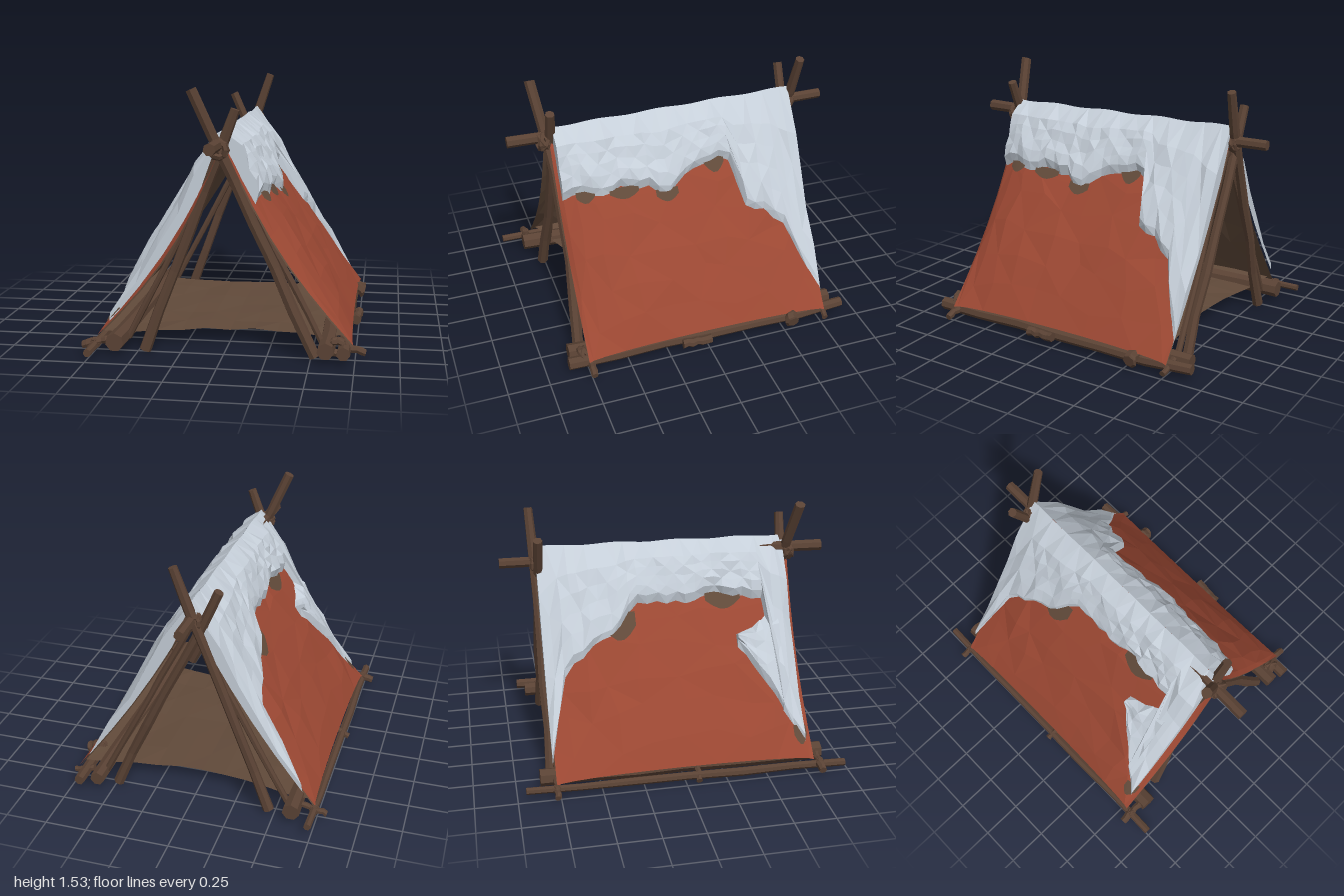
import * as THREE from 'three';

const material = (name, color) => Object.assign(new THREE.MeshStandardMaterial({ color }), { name });

export function createModel() {
  const tent = new THREE.Group();
  tent.name = 'tent';
  const wood = material('dark wood', 0x5a4234);
  const red = material('red canvas', 0x9c4833);
  const lining = material('brown lining', 0x614a3a);
  const snow = material('snow', 0xc5ced8);
  lining.side = THREE.DoubleSide;

  let seed = 11;
  const rand = () => {
    seed = (seed * 16807) % 2147483647;
    return (seed / 2147483647) * 2 - 1;
  };

  function add(name, geometry, mat, parent = tent) {
    const flat = geometry.index ? geometry.toNonIndexed() : geometry;
    flat.computeVertexNormals();
    const mesh = new THREE.Mesh(flat, mat);
    mesh.name = name;
    parent.add(mesh);
    return mesh;
  }

  // Faceted surface from a rows x columns rule
  function grid(rows, cols, point, flip) {
    const pos = [], index = [];
    for (let i = 0; i <= rows; i++)
      for (let j = 0; j <= cols; j++) pos.push(...point(i, j));
    for (let i = 0; i < rows; i++)
      for (let j = 0; j < cols; j++) {
        const a = i * (cols + 1) + j, b = a + 1, c = a + cols + 1, d = c + 1;
        const tris = (i + j) % 2 ? [a, b, c, b, d, c] : [a, b, d, a, d, c];
        index.push(...(flip ? tris.reverse() : tris));
      }
    const g = new THREE.BufferGeometry();
    g.setAttribute('position', new THREE.Float32BufferAttribute(pos, 3));
    g.setIndex(index);
    return g;
  }

  // Rough pole between two points; bow bends its middle along z
  function pole(name, from, to, r, wobble = 0.2, bow = 0) {
    const a = new THREE.Vector3(...from), b = new THREE.Vector3(...to);
    const dir = b.clone().sub(a), len = dir.length(), segs = 6;
    const turn = new THREE.Quaternion().setFromUnitVectors(new THREE.Vector3(0, 1, 0), dir.normalize());
    const g = new THREE.CylinderGeometry(r * 0.88, r, len, 7, segs);
    const shift = Array.from({ length: segs + 1 }, () => [rand() * r * wobble, rand() * r * wobble, 1 + rand() * 0.1]);
    const p = g.attributes.position, v = new THREE.Vector3();
    for (let i = 0; i < p.count; i++) {
      v.fromBufferAttribute(p, i);
      const t = v.y / len + 0.5, [sx, sz, k] = shift[Math.round(t * segs)];
      v.set(v.x * k + sx, v.y + len / 2, v.z * k + sz).applyQuaternion(turn).add(a);
      p.setXYZ(i, v.x, v.y, v.z + bow * Math.sin(Math.PI * t));
    }
    add(name, g, wood);
  }

  // Lashing made of a few crossed rings
  function lashing(x, y, z, r) {
    const group = new THREE.Group();
    group.name = 'lashing';
    group.position.set(x, y, z);
    for (const [rx, ry] of [[0, 0.5], [0, -0.5], [0.6, 0], [-0.6, 0.2]]) {
      const ring = add('lashingRing', new THREE.TorusGeometry(r, r * 0.35, 5, 9), wood, group);
      ring.rotation.set(rx, ry, 0);
    }
    tent.add(group);
  }

  // Point on a roof slope: u runs from ridge to ground, h is height off the straight slope
  const W = 0.74, H = 1.13, L = Math.hypot(W, H);
  const onSlope = (side, u, z, h) => [
    side * (W * u + (h * H) / L), 1.2 - H * u + (h * W) / L, z];
  // The cloth swells in the middle and is drawn in at both open ends, sharply at the front
  const drape = (u, z) => Math.sin(Math.PI * Math.min(1, Math.max(0, u))) *
    (0.028 - (z > 0 ? 0.11 * Math.min(1, z / 0.77) ** 9 : 0.06 * (z / 0.775) ** 4));

  // Canvas roof with a lining just under it
  for (const side of [1, -1]) {
    const rows = 7, cols = 12, points = [];
    const front = side > 0 ? 0.755 : 0.785, back = -0.772;
    for (let i = 0; i <= rows; i++)
      for (let j = 0; j <= cols; j++) {
        const inner = i > 0 && i < rows && j > 1 && j < cols - 1;
        const u = i / rows + (inner ? rand() * 0.04 : 0);
        const v = j / cols + (inner ? rand() * 0.02 : 0);
        const sag = i === rows ? -0.025 * Math.sin(v * Math.PI) : 0;
        const z = (front + back) / 2 + ((front - back) / 2) * Math.sin((v - 0.5) * Math.PI);
        points.push([u + sag, z, drape(u, z) + (inner ? rand() * 0.01 : 0)]);
      }
    const layer = (drop) => (i, j) => {
      const [u, z, h] = points[i * (cols + 1) + j];
      return onSlope(side, u, z, h - drop);
    };
    add('canvas', grid(rows, cols, layer(0), side < 0), red);
    add('canvasLining', grid(rows, cols, layer(0.009), side > 0), lining);
  }

  // Brown worn patches peeping out under the snow line
  for (const [side, z0, z1, u0, u1] of [
    [1, 0.55, 0.66, 0.26, 0.315], [1, 0.28, 0.46, 0.27, 0.325], [1, 0.04, 0.18, 0.31, 0.37],
    [1, -0.28, -0.15, 0.19, 0.28], [-1, 0.22, 0.44, 0.2, 0.29], [-1, -0.42, -0.22, 0.27, 0.4],
    [-1, 0.68, 0.765, 0.84, 0.93]])
    add('wornPatch', grid(2, 5, (i, j) => {
      const z = z0 + ((z1 - z0) * j) / 5;
      const u = u0 + ((u1 - u0) * i * (0.5 + 0.5 * Math.sin((Math.PI * j) / 5))) / 2;
      return onSlope(side, u, z, drape(u, z) + 0.012);
    }, side < 0), lining);

  // Ground cloth with hollowed ends, its long edges rising to meet the roof
  add('groundCloth', grid(10, 6, (i, j) => {
    const s = i / 5 - 1, hollow = 1 - s * s;
    const back = -0.74 + 0.13 * hollow, front = 0.68 - 0.07 * s - 0.17 * hollow;
    const rise = Math.abs(s) === 1 ? 0.03 : 0;
    return [s * 0.71, 0.063 + rise + rand() * 0.007, back + ((front - back) * j) / 6];
  }), lining);

  // Read a value from a list of [z, value] pairs
  function along(pairs, z) {
    let k = 1;
    while (k < pairs.length - 1 && pairs[k][0] < z) k++;
    const [z0, a] = pairs[k - 1], [z1, b] = pairs[k];
    return a + (b - a) * Math.min(1, Math.max(0, (z - z0) / (z1 - z0)));
  }

  // Snow blanket between an upper line (or the ridge) and a ragged lower line
  function snowSheet(name, side, z0, z1, cols, lower, upper) {
    const rows = 6;
    const ragged = Array.from({ length: cols + 1 }, () => rand() * 0.018);
    const geometry = grid(rows, cols, (i, j) => {
      const end = j === 0 || j === cols;
      const v = Math.min(1, Math.max(0, (j - 1) / (cols - 2)));
      let z = z0 + (z1 - z0) * v;
      const top = upper ? along(upper, z) : 0;
      const low = Math.max(top + 0.06, along(lower, z) + ragged[j]);
      if (!upper && i === 0) return [0, end ? 1.235 : 1.275 - 0.012 * z + 0.005 * Math.sin(v * 25), z];
      const rim = end || i === rows || (upper && i === 0);
      const u = i === rows ? low : top + ((low - 0.035 - top) * i) / (rows - 1);
      const thick = (0.045 + 0.04 * Math.max(0, 1 - u * 2.5) - 0.05 * Math.max(0, u - 0.45)) *
        (i === rows - 1 ? 0.8 : 1) + rand() * 0.012;
      if (!rim) z += rand() * 0.01 * (j > 1 && j < cols - 1);
      return onSlope(side, u, z, drape(u, z) + (rim ? -0.002 : thick));
    }, side < 0);
    add(name, geometry, snow);
  }
  snowSheet('snowLeft', 1, -0.775, 0.735, 28, [
    [-0.78, 0.92], [-0.74, 0.84], [-0.66, 0.68], [-0.57, 0.53], [-0.34, 0.45], [-0.31, 0.25],
    [-0.22, 0.22], [0, 0.27], [0.1, 0.33], [0.22, 0.29], [0.5, 0.28], [0.76, 0.28]]);
  snowSheet('snowRight', -1, -0.785, 0.75, 28, [
    [-0.79, 0.92], [-0.73, 0.74], [-0.67, 0.54], [-0.5, 0.42], [-0.35, 0.36], [-0.2, 0.25],
    [0.1, 0.25], [0.3, 0.21], [0.58, 0.27], [0.63, 0.76], [0.7, 0.84], [0.75, 0.93]]);
  snowSheet('snowDrift', -1, 0.39, 0.66, 7,
    [[0.39, 0.46], [0.5, 0.6], [0.65, 0.79]], [[0.39, 0.41], [0.5, 0.38], [0.65, 0.28]]);

  // Ridge pole and crossed end frames
  pole('ridgePole', [-0.03, 1.19, 1], [-0.01, 1.2, -1], 0.035);
  pole('frontFramePole', [-0.46, 0, 0.765], [0.07, 1.39, 0.755], 0.034, 0.2, -0.035);
  pole('frontFramePole', [0.52, 0, 0.77], [-0.17, 1.5, 0.81], 0.034, 0.2, -0.055);
  pole('backFramePole', [-0.46, 0, -0.78], [0.09, 1.5, -0.805], 0.032);
  pole('backFramePole', [0.49, 0, -0.765], [-0.17, 1.37, -0.78], 0.032);
  for (const side of [1, -1])
    for (const z of [0.7, -0.755])
      pole('canvasEdgePole', [side * 0.57, 0.05, z], [0, 1.15, z], 0.02);
  lashing(-0.02, 1.17, 0.785, 0.048);
  lashing(-0.02, 1.18, -0.785, 0.043);

  // Ground logs
  pole('groundLog', [-0.61, 0.057, 0.86], [-0.61, 0.06, -0.86], 0.055, 0.08);
  pole('groundLog', [0.59, 0.055, 0.85], [0.59, 0.055, -0.86], 0.05, 0.08);
  pole('sidePole', [-0.735, 0.035, 0.98], [-0.735, 0.045, -0.95], 0.026);
  pole('sidePole', [0.69, 0.055, 0.87], [0.69, 0.05, -0.91], 0.038);

  // Pegs and corner lashings
  for (const [x0, x1, z, r] of [
    [-0.81, -0.64, 0.82, 0.024], [-0.81, -0.66, -0.77, 0.02], [-0.78, -0.69, 0.07, 0.02],
    [0.66, 0.81, 0.74, 0.024], [0.64, 0.77, -0.77, 0.02], [0.68, 0.77, -0.55, 0.045]])
    pole('peg', [x0, x0 < 0 ? 0.03 : 0.065, z], [x1, x0 < 0 ? 0.07 : Math.max(r, 0.03), z], r);
  pole('shortLog', [0.735, 0.05, 0.17], [0.745, 0.05, -0.01], 0.03);
  lashing(0.65, 0.065, 0.77, 0.045);
  lashing(0.69, 0.06, -0.55, 0.038);
  lashing(-0.735, 0.045, 0.82, 0.026);
  lashing(-0.735, 0.045, -0.77, 0.024);

  return tent;
}
